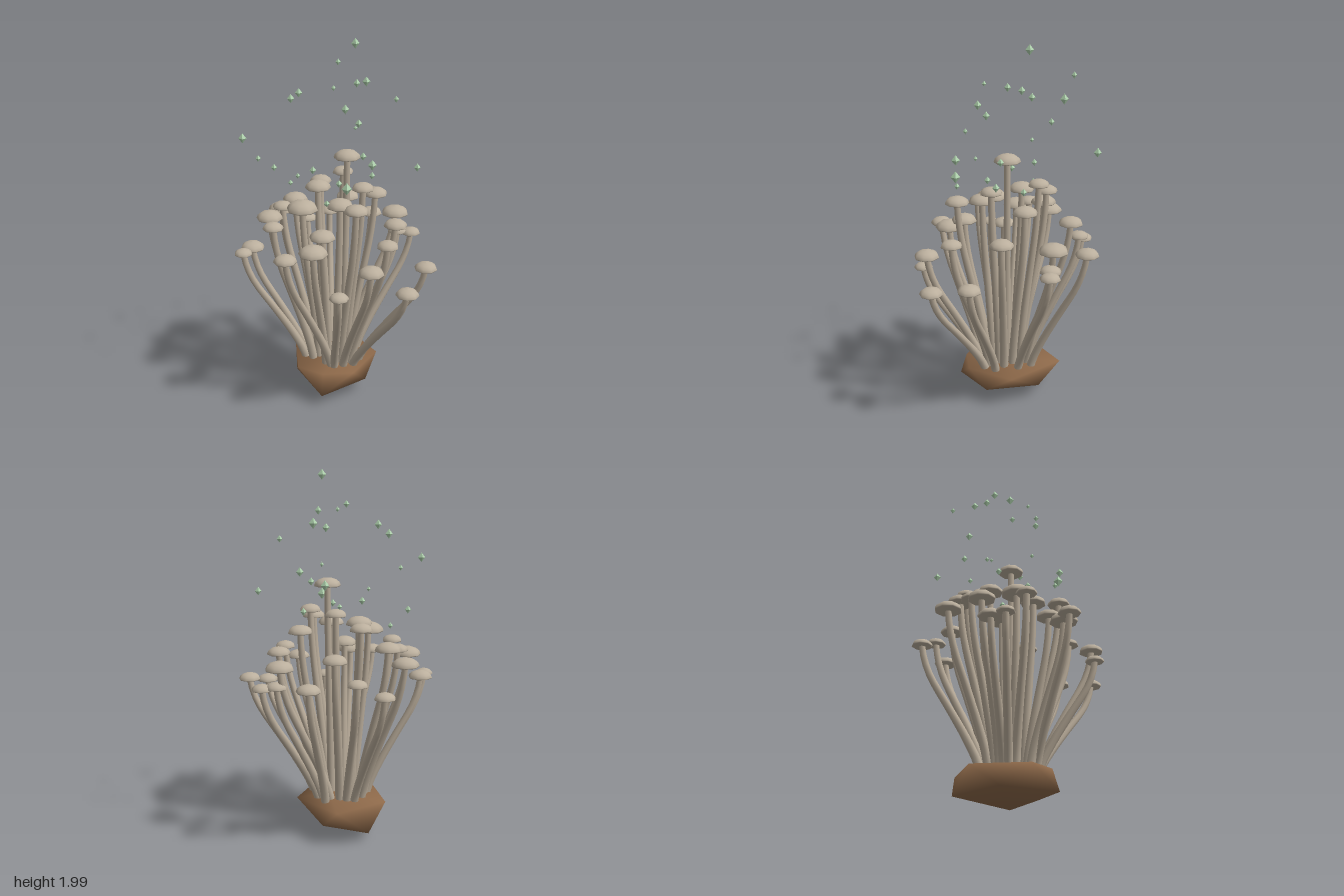
import * as THREE from 'three';
import { mergeVertices } from 'three/addons/utils/BufferGeometryUtils.js';
import { ConvexGeometry } from 'three/addons/geometries/ConvexGeometry.js';

const V = (x, y, z) => new THREE.Vector3(x, y, z);

function material(name, color, flatShading = false) {
  const m = new THREE.MeshStandardMaterial({ color, flatShading });
  m.name = name;
  return m;
}

function addMesh(parent, name, geometry, mat) {
  const mesh = new THREE.Mesh(geometry, mat);
  mesh.name = name;
  parent.add(mesh);
  return mesh;
}

// x, z, height of cap top, cap radius, and for a few the x, z of the root
const MUSHROOMS = [
  [-.11, -.46, .90, .055], [.02, -.41, .96, .053], [.12, -.34, 1.08, .065], [.27, -.40, .95, .063, .12, -.12],
  [-.27, -.295, 1.035, .072], [-.19, -.245, 1.11, .07], [-.045, -.235, 1.215, .06], [.075, -.17, 1.285, .057],
  [.38, -.197, 1.03, .075, .08, -.1], [.47, -.165, .905, .053], [-.265, -.175, 1.085, .055], [-.34, -.11, 1.055, .072],
  [-.07, -.10, 1.23, .07], [.245, -.07, 1.19, .065], [-.44, -.05, .90, .065], [-.49, .03, .89, .048],
  [-.165, .055, 1.17, .083], [.08, 0, 1.43, .07], [.34, .065, 1.05, .063], [-.325, .12, 1.075, .055],
  [.155, .095, 1.275, .058], [.03, .13, 1.2, .07], [-.07, .22, 1.06, .068], [-.125, .30, 1.01, .076],
  [-.27, .335, .98, .06, -.01, .13], [.10, .27, 1.215, .063], [.26, .315, 1.03, .056], [.48, .245, .87, .06],
  [.16, .44, .945, .065], [.35, .43, .81, .06], [-.005, .455, .81, .05], [.395, -.18, .915, .056],
];

// x, y, z, half width
const SPORES = [
  [.13, 1.975, -.105, .022], [.063, 1.835, -.35, .015], [-.003, 1.79, .11, .012], [.127, 1.79, .005, .018],
  [.212, 1.74, -.27, .022], [-.168, 1.72, -.113, .02], [-.208, 1.675, -.176, .02], [.053, 1.69, .15, .02],
  [.365, 1.66, -.177, .015], [-.468, 1.525, .05, .021], [-.39, 1.455, .18, .014], [.137, 1.52, -.12, .011],
  [.195, 1.455, -.455, .021], [.177, 1.435, .278, .022], [.16, 1.41, .046, .018], [.44, 1.36, .104, .018],
  [-.19, 1.345, .142, .012], [-.1, 1.31, -.05, .018], [.05, 1.31, .272, .026], [-.307, 1.28, -.21, .017],
  [.225, 1.265, -.065, .017], [.027, 1.28, .1, .017], [-.05, 1.23, .258, .015], [-.217, 1.195, -.19, .014],
];

// Stem that leans outward from the root, then straightens below the cap
function stemGeometry(x, z, top, rootX, rootZ) {
  const y0 = 0.16;
  const steps = [[0, 0], [.12, .08], [.3, .27], [.5, .52], [.75, .84], [.89, .955], [1, 1]];
  const curve = new THREE.CatmullRomCurve3(steps.map(([h, out]) =>
    V(rootX + (x - rootX) * out, y0 + (top - y0) * h, rootZ + (z - rootZ) * out)));
  const rings = 14, sides = 8;
  const geo = new THREE.TubeGeometry(curve, rings, 1, sides);
  const pos = geo.attributes.position, p = V(0, 0, 0);
  for (let i = 0; i < pos.count; i++) {
    const t = Math.floor(i / (sides + 1)) / rings;
    const centre = curve.getPointAt(t);
    p.fromBufferAttribute(pos, i).sub(centre).multiplyScalar(0.024 - 0.007 * t).add(centre);
    pos.setXYZ(i, p.x, p.y, p.z);
  }
  return geo;
}

export function createModel() {
  const group = new THREE.Group();
  const capMat = material('mushroomCap', 0xbcb09e);
  const stemMat = material('mushroomStem', 0xb8ab99);
  const rockMat = material('earthBrown', 0x8c6849);
  const sporeMat = material('sporeGreen', 0xaed0ac, true);

  // Faceted clump of earth
  const hull = new ConvexGeometry([
    V(.01, .005, 0), V(-.205, .08, -.03), V(-.08, .07, .255), V(.18, .09, .13), V(.15, .08, -.17),
    V(-.08, .06, -.28), V(-.205, .19, .13), V(.1, .19, .22), V(.26, .19, 0), V(.1, .2, -.3),
    V(-.205, .19, -.18), V(-.07, .19, .22), V(.08, .215, -.04),
  ]);
  hull.deleteAttribute('normal');
  const rock = mergeVertices(hull);
  rock.computeVertexNormals();
  addMesh(group, 'earthClump', rock, rockMat);

  // Cap profile of unit radius, domed above and shallow below
  const profile = [[0, -.12], [.6, -.12], [.95, -.08], [1, 0], [.9, .24], [.66, .43], [.34, .54], [0, .58]];
  const capGeo = new THREE.LatheGeometry(profile.map(([r, y]) => new THREE.Vector2(r, y)), 8);

  const mushrooms = new THREE.Group();
  mushrooms.name = 'mushrooms';
  group.add(mushrooms);
  MUSHROOMS.forEach(([x, z, top, r, rootX, rootZ], i) => {
    const capY = top - r * 0.58;
    const reach = Math.hypot(x, z), k = 0.2 + 0.045 / reach;
    addMesh(mushrooms, 'stem', stemGeometry(x, z, capY, rootX ?? x * k, rootZ ?? z * k), stemMat);
    const cap = addMesh(mushrooms, 'cap', capGeo, capMat);
    cap.position.set(x, capY, z);
    cap.scale.setScalar(r * 1.03);
    cap.rotation.y = i * 1.7;
  });

  // Floating spores
  const sporeGeo = new THREE.OctahedronGeometry(1);
  const spores = new THREE.Group();
  spores.name = 'spores';
  group.add(spores);
  for (const [x, y, z, s] of SPORES) {
    const spore = addMesh(spores, 'spore', sporeGeo, sporeMat);
    spore.position.set(x, y - 0.005, z);
    spore.scale.set(s, s * 1.25, s);
  }
  return group;
}
